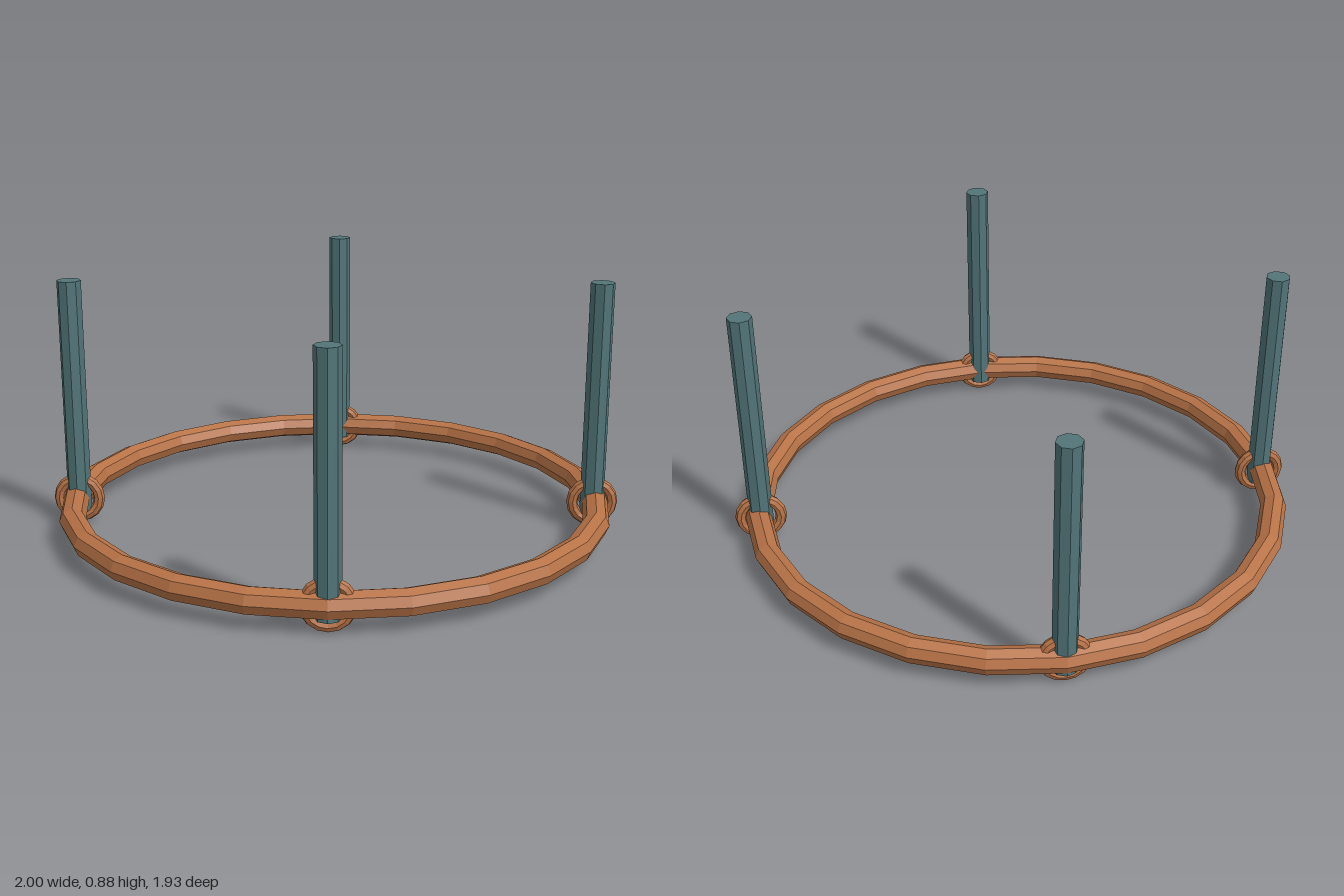
import * as THREE from 'three';

export function createModel() {
  const model = new THREE.Group();
  const copper = new THREE.MeshStandardMaterial({ color: 0xb87347, flatShading: true });
  const teal = new THREE.MeshStandardMaterial({ color: 0x527579, flatShading: true });
  const ringY = 0.09, postTop = 0.875, postBottom = 0.045, spread = 0.91;

  const add = (name, geometry, material, x, y, z) => {
    const mesh = new THREE.Mesh(geometry, material);
    mesh.name = name;
    mesh.position.set(x, y, z);
    model.add(mesh);
    return mesh;
  };

  // large horizontal hoop
  const hoop = new THREE.TorusGeometry(0.92, 0.045, 8, 24).rotateX(-Math.PI / 2);
  add('hoop', hoop, copper, 0, ringY, 0);

  // four posts, each with a small upright ring at its foot (all facing the front)
  const post = new THREE.CylinderGeometry(0.042, 0.042, postTop - postBottom, 8);
  const loop = new THREE.TorusGeometry(0.07, 0.02, 8, 16);
  const places = [['front', 0, 1], ['back', 0, -1], ['left', 1, 0], ['right', -1, 0]];
  for (const [side, x, z] of places) {
    add(side + 'Post', post, teal, x * spread, (postTop + postBottom) / 2, z * spread);
    add(side + 'Loop', loop, copper, x * spread, ringY, z * spread);
  }
  return model;
}
